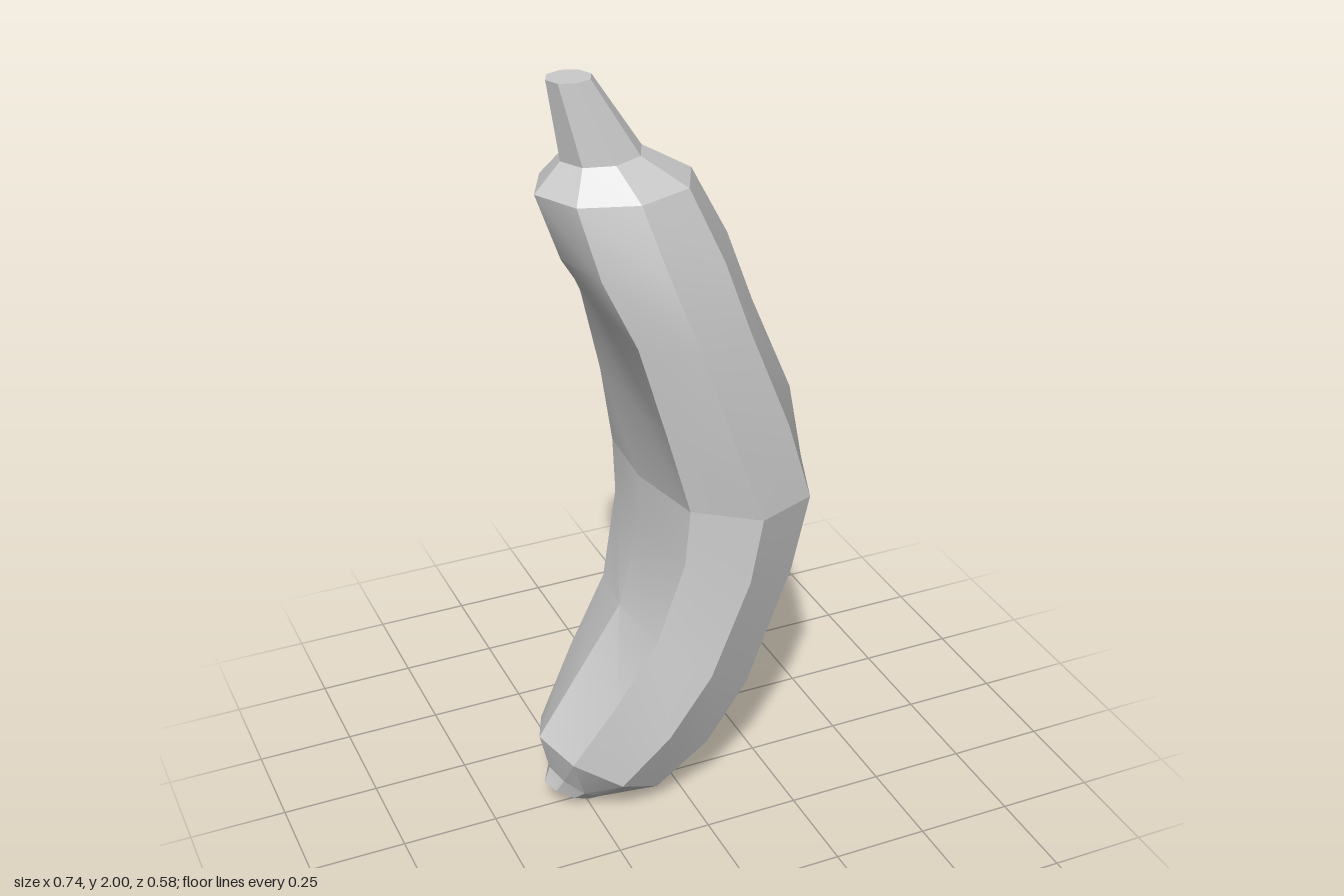
import * as THREE from 'three';
import { toCreasedNormals } from 'three/addons/utils/BufferGeometryUtils.js';

const SIDES = 8;
const material = new THREE.MeshStandardMaterial({ color: 0xcccccc });

// Each ring: [outer x, outer y, inner x, inner y, half width in z, front sag, back sag], from the top down.
// Sag slides the side corners towards the inner curve, which flattens that side.
const stemTop = [-0.19, 2.0, -0.30, 2.0, 0.05, 0, 0];
const stemFoot = [-0.07, 1.815, -0.27, 1.805, 0.09, 0, 0];
const shoulder = [0.055, 1.74, -0.335, 1.735, 0.165, 0, 0];
const middle = [0.369, 0.90, -0.083, 0.945, 0.29, 0.05, 0.14];
const lowerEnd = [-0.04, 0.035, -0.37, 0.23, 0.165, 0, 0];
const tipFoot = [-0.21, 0.012, -0.345, 0.125, 0.075, 0, 0];
const tipEnd = [-0.23, 0.003, -0.36, 0.08, 0.05, 0, 0];

// Point i of a tilted octagonal ring
function ringPoint([ox, oy, ix, iy, w, front, back], i) {
  const a = (i % SIDES) * 2 * Math.PI / SIDES, c = Math.cos(a), s = Math.sin(a);
  const sag = (s > 0 ? front : back) * Math.abs(s) * (1 - 0.25 * c);
  const t = c / 2 - sag;
  return [(ox + ix) / 2 + (ox - ix) * t, (oy + iy) / 2 + (oy - iy) * t, w * s];
}

// Skin a row of rings, optionally closing the top or the bottom
function loft(name, rings, { capTop = false, capBottom = false } = {}) {
  const pos = [];
  const tri = (a, b, c) => pos.push(...a, ...b, ...c);
  const centre = ([ox, oy, ix, iy]) => [(ox + ix) / 2, (oy + iy) / 2, 0];
  const top = rings[0], bottom = rings[rings.length - 1];
  for (let i = 0; i < SIDES; i++) {
    for (let r = 0; r < rings.length - 1; r++) {
      const a0 = ringPoint(rings[r], i), a1 = ringPoint(rings[r], i + 1);
      const b0 = ringPoint(rings[r + 1], i), b1 = ringPoint(rings[r + 1], i + 1);
      tri(a0, a1, b0);
      tri(a1, b1, b0);
    }
    if (capTop) tri(centre(top), ringPoint(top, i + 1), ringPoint(top, i));
    if (capBottom) tri(centre(bottom), ringPoint(bottom, i), ringPoint(bottom, i + 1));
  }
  const geometry = new THREE.BufferGeometry();
  geometry.setAttribute('position', new THREE.Float32BufferAttribute(pos, 3));
  const mesh = new THREE.Mesh(toCreasedNormals(geometry, 0.45), material);
  mesh.name = name;
  return mesh;
}

export function createModel() {
  const group = new THREE.Group();
  group.name = 'banana';
  group.add(
    // Tapered stalk and the sloping collar below it
    loft('stem', [stemTop, stemFoot], { capTop: true }),
    loft('shoulder', [stemFoot, shoulder]),
    // Curved fruit, with a hard seam at the middle
    loft('upperBody', [
      shoulder,
      [0.15, 1.56, -0.275, 1.565, 0.225, 0.07, 0.07],
      [0.22, 1.37, -0.17, 1.39, 0.255, 0.14, 0.14],
      [0.33, 1.11, -0.10, 1.155, 0.283, 0.16, 0.18],
      middle,
    ]),
    loft('lowerBody', [
      middle,
      [0.32, 0.68, -0.085, 0.80, 0.28, 0.06, 0.12],
      [0.205, 0.325, -0.14, 0.58, 0.25, 0.08, 0.08],
      [0.10, 0.155, -0.255, 0.405, 0.22, 0.05, 0.05],
      lowerEnd,
    ]),
    // Blunt lower end with its small nub
    loft('lowerEnd', [lowerEnd, tipFoot]),
    loft('tip', [tipFoot, tipEnd], { capBottom: true }),
  );
  return group;
}
